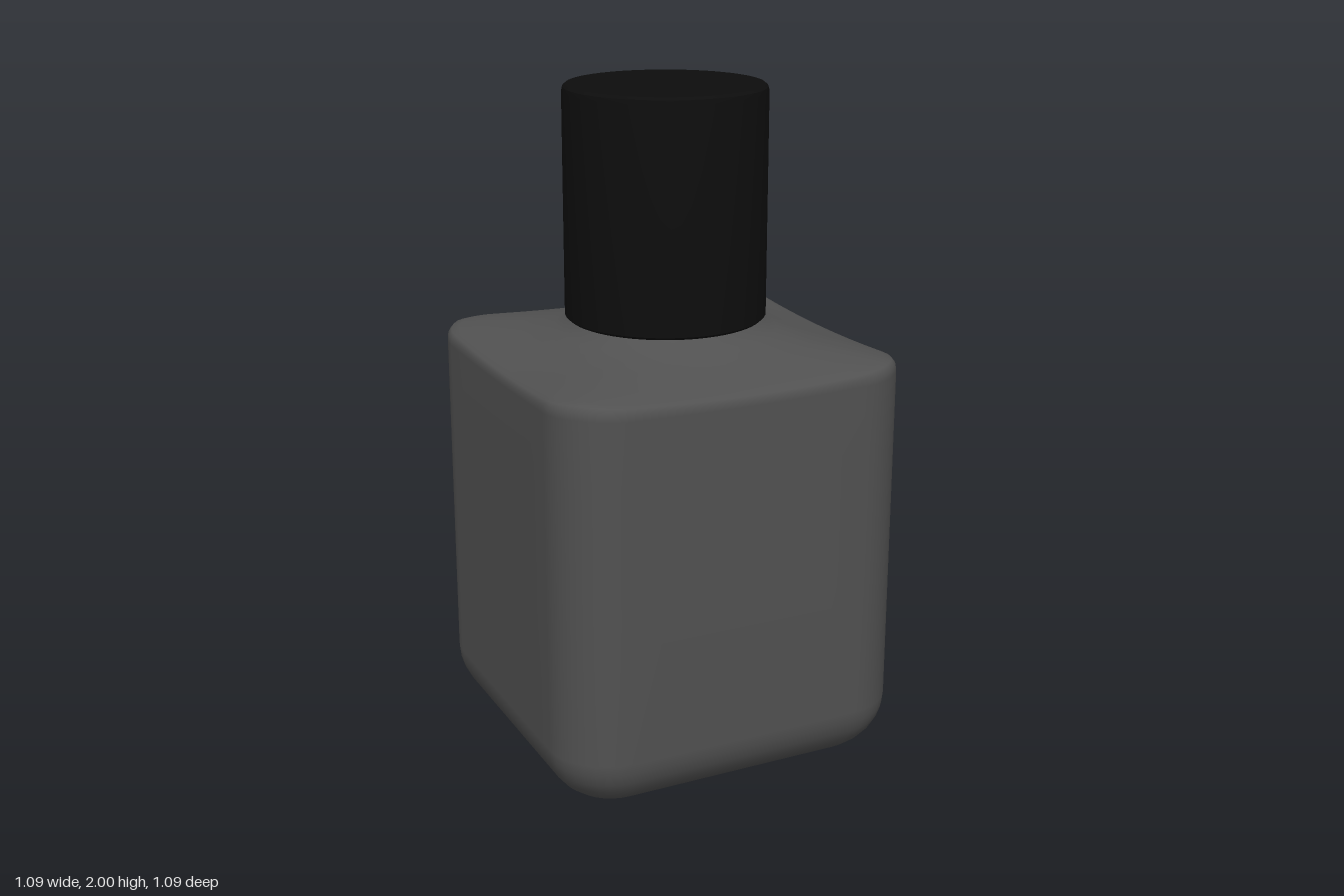
import * as THREE from 'three';
import { toCreasedNormals } from 'three/addons/utils/BufferGeometryUtils.js';

// Outline of a rounded square, counter-clockwise in the x-z plane
function roundedSquare(h, r, arcSteps = 8, edgeSteps = 8) {
  const pts = [];
  const c = h - r;
  for (let q = 0; q < 4; q++) {
    const cs = Math.round(Math.cos(q * Math.PI / 2));
    const sn = Math.round(Math.sin(q * Math.PI / 2));
    const add = (x, z) => pts.push([x * cs - z * sn, x * sn + z * cs]);
    for (let i = 0; i < edgeSteps; i++) add(h, -c + 2 * c * i / edgeSteps);
    for (let i = 0; i < arcSteps; i++) {
      const a = i / arcSteps * Math.PI / 2;
      add(c + r * Math.cos(a), c + r * Math.sin(a));
    }
  }
  return pts;
}

// Skin through rows of [y, half width, corner radius, roundness 0..1, corner lift]
function loft(rows) {
  const pos = [], index = [];
  let n = 0;
  for (const [y, h, r, round, lift] of rows) {
    const ring = roundedSquare(h, r);
    n = ring.length;
    for (const [x, z] of ring) {
      const k = 1 + (h / Math.hypot(x, z) - 1) * round;
      const corner = Math.min(Math.abs(x), Math.abs(z)) / h;
      pos.push(x * k, y + lift * corner * corner, z * k);
    }
  }
  for (let j = 0; j < rows.length - 1; j++) {
    for (let i = 0; i < n; i++) {
      const a = j * n + i, b = j * n + (i + 1) % n;
      index.push(a, a + n, b, b, a + n, b + n);
    }
  }
  const geo = new THREE.BufferGeometry();
  geo.setAttribute('position', new THREE.Float32BufferAttribute(pos, 3));
  geo.setIndex(index);
  geo.computeVertexNormals();
  return geo;
}

export function createModel() {
  const glass = new THREE.MeshStandardMaterial({ color: 0x515151 });
  glass.name = 'dark grey glass';
  const black = new THREE.MeshStandardMaterial({ color: 0x0d0d0d });
  black.name = 'black plastic';

  const model = new THREE.Group();
  model.name = 'bottle';

  // Body: flat base, rounded lower edge, straight walls, sloping shoulder
  const W = 0.545, R = 0.18, B = 0.18;
  const rows = [[0, 0.005, 0.001, 0, 0], [0, 0.3, 0.05, 0, 0]];
  for (let i = 0; i <= 8; i++) {
    const a = i / 8 * Math.PI / 2;
    const inset = B * (1 - Math.sin(a));
    rows.push([B * (1 - Math.cos(a)), W - inset, Math.max(0.07, R - inset * 0.7), 0, 0]);
  }
  rows.push(
    [0.6, W, R, 0, 0],
    [1.0, W, R, 0, 0],
    [1.19, W, R, 0, 0.015],
    [1.208, W - 0.002, R, 0, 0.02],
    [1.218, W - 0.01, R, 0, 0.025],
    [1.225, W - 0.028, R, 0, 0.025],
    [1.24, 0.47, 0.18, 0.1, 0.02],
    [1.262, 0.39, 0.18, 0.4, 0.01],
    [1.29, 0.32, 0.18, 0.8, 0],
    [1.32, 0.265, 0.17, 1, 0],
    [1.36, 0.255, 0.17, 1, 0],
  );
  const body = new THREE.Mesh(loft(rows), glass);
  body.name = 'body';
  model.add(body);

  // Cap: closed cylinder with small bevels
  const profile = [
    [0, 1.32], [0.288, 1.32], [0.297, 1.328], [0.297, 1.98],
    [0.294, 1.993], [0.286, 2], [0, 2],
  ].map(([x, y]) => new THREE.Vector2(x, y));
  const cap = new THREE.Mesh(toCreasedNormals(new THREE.LatheGeometry(profile, 64), 0.6), black);
  cap.name = 'cap';
  model.add(cap);

  return model;
}
